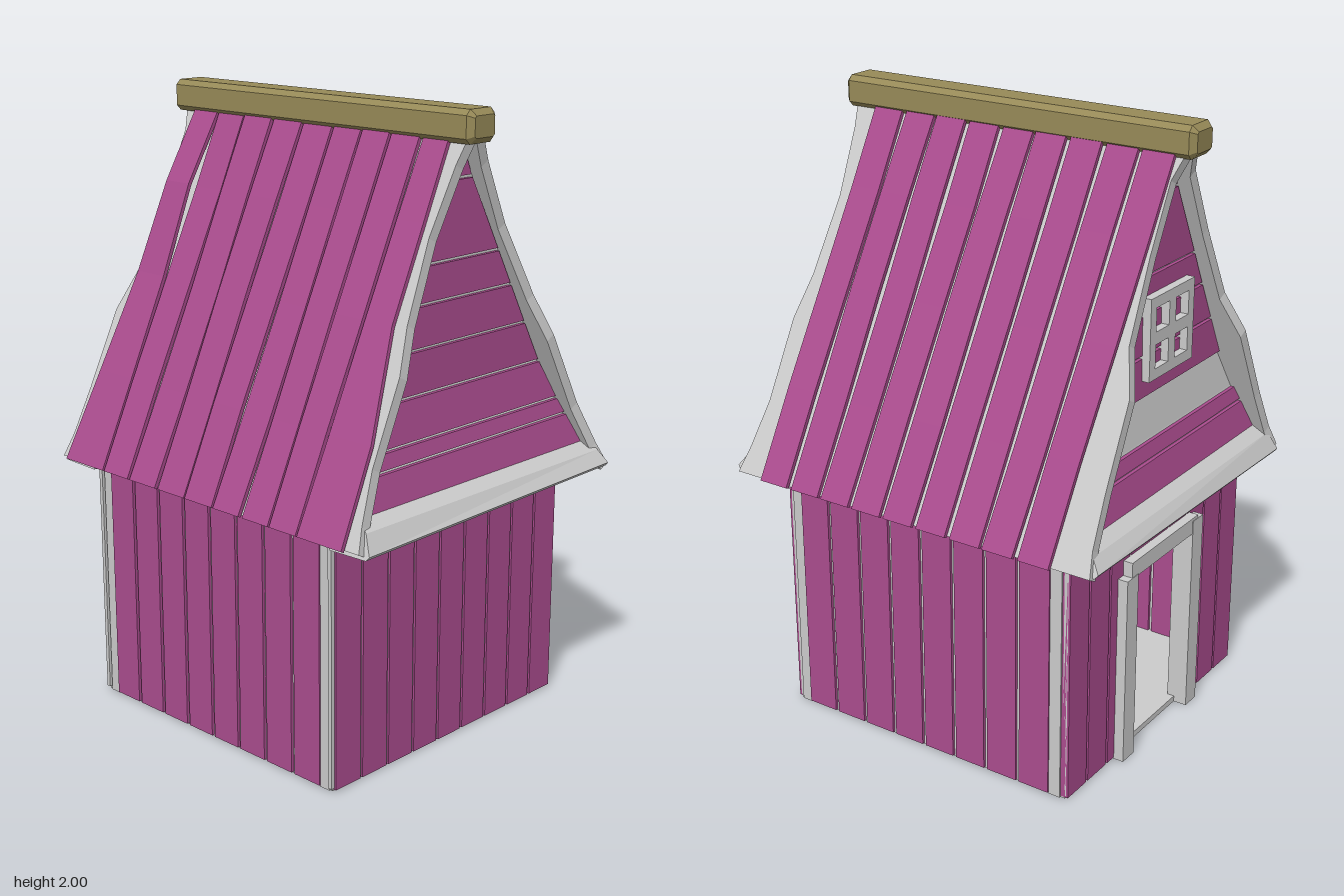
import * as THREE from 'three';

const mat = (color) => new THREE.MeshStandardMaterial({ color, flatShading: true, side: THREE.DoubleSide });
const grey = mat(0xcccccc), paint = mat(0xaa4c8e), olive = mat(0x978a58);
const lerp = THREE.MathUtils.lerp;

// Solid skinned through four-cornered rings, oriented outwards by its signed volume.
function loft(rings) {
  const quads = [rings[0].slice().reverse(), rings[rings.length - 1]];
  for (let i = 0; i + 1 < rings.length; i++)
    for (let j = 0; j < 4; j++) {
      const k = (j + 1) % 4;
      quads.push([rings[i][j], rings[i][k], rings[i + 1][k], rings[i + 1][j]]);
    }
  const tris = quads.flatMap(([a, b, c, d]) => [[a, b, c], [a, c, d]]);
  const origin = rings[0][0];
  let volume = 0;
  for (const t of tris) {
    const [a, b, c] = t.map((p) => p.clone().sub(origin));
    volume += a.dot(b.cross(c));
  }
  const points = tris.flatMap(([a, b, c]) => (volume < 0 ? [a, c, b] : [a, b, c]));
  const geo = new THREE.BufferGeometry().setFromPoints(points);
  geo.computeVertexNormals();
  return geo;
}

// Piecewise linear lookup in a list of [key, value]
function curve(points, t) {
  const found = points.findIndex((e) => e[0] >= t);
  const i = found < 0 ? points.length - 1 : Math.max(1, found);
  const [p, q] = [points[i - 1], points[i]];
  return lerp(p[1], q[1], (t - p[0]) / (q[0] - p[0]));
}

export function createModel() {
  const model = new THREE.Group();
  model.name = 'woodenHut';
  const add = (name, geo, material, parent = model) => {
    const mesh = new THREE.Mesh(geo, material);
    mesh.name = name;
    parent.add(mesh);
    return mesh;
  };
  // Box given by its extents on each axis
  const box = (name, x0, x1, y0, y1, z0, z1, material, parent) =>
    add(name, new THREE.BoxGeometry(x1 - x0, y1 - y0, z1 - z0), material, parent)
      .position.set((x0 + x1) / 2, (y0 + y1) / 2, (z0 + z1) / 2);
  const group = (name) => {
    const g = new THREE.Group();
    g.name = name;
    model.add(g);
    return g;
  };

  // Floor, loft floor and corner posts
  box('floor', -0.55, 0.495, 0, 0.02, -0.52, 0.52, grey);
  box('loftFloor', -0.6, 0.6, 0.8, 0.84, -0.55, 0.55, grey);
  for (const x of [-0.514, 0.467])
    for (const z of [-0.503, 0.503]) box('cornerPost', x - 0.02, x + 0.02, 0, 0.8, z - 0.022, z + 0.022, grey);

  // Front and back walls: planks through a thinner core
  for (const s of [-1, 1]) {
    const wall = group(s > 0 ? 'frontWall' : 'backWall');
    const z = s * 0.51;
    box('wallCore', -0.5, 0.46, 0.01, 0.8, z - 0.01, z + 0.01, grey, wall);
    for (let i = 0; i < 8; i++) {
      const x = -0.494 + i * 0.1195;
      box('wallPlank', x, x + 0.107, 0.005, 0.8, z - 0.02, z + 0.02, paint, wall);
    }
  }

  // Side walls; the right one (-x) has the doorway
  const doorBack = -0.2, doorFront = 0.17, doorTop = 0.66;
  for (const s of [-1, 1]) {
    const wall = group(s > 0 ? 'leftWall' : 'doorWall');
    const x = s > 0 ? 0.492 : -0.547;
    const parts = s > 0 ? [[-0.52, 0.53, 0.01]]
      : [[-0.52, doorBack, 0.01], [doorBack, doorFront, doorTop], [doorFront, 0.53, 0.01]];
    for (const [z0, z1, y0] of parts) {
      box('wallCore', x - 0.007, x + 0.007, y0, 0.8, z0, z1, grey, wall);
      for (let i = 0; i < 9; i++) {
        const start = -0.522 + i * 0.1165;
        const a = Math.max(z0, start), b = Math.min(z1, start + 0.107);
        if (b - a > 0.01) box('wallPlank', x - 0.014, x + 0.014, y0 - 0.005, 0.8, a, b, paint, wall);
      }
    }
  }
  box('doorJamb', -0.595, -0.525, 0, 0.64, -0.25, -0.185, grey);
  box('doorJamb', -0.595, -0.525, 0, 0.68, 0.155, 0.22, grey);
  box('doorLintel', -0.593, -0.525, 0.635, 0.69, -0.22, 0.19, grey);

  // Roof: point on a slope at x, height fraction t and offset h along the slope's normal
  const roofPoint = (s, x, t, h) => {
    const ridgeZ = s > 0 ? 0.065 : -0.01;
    const run = 0.593 - s * ridgeZ, n = new THREE.Vector2(1.11, run).normalize();
    return new THREE.Vector3(x, lerp(0.81, 1.92, t) + n.y * h, s * (lerp(0.593, s * ridgeZ, t) + n.x * h));
  };
  // Slab along a slope from stations of [t, xLeft, xRight, lift]
  const slope = (s, stations, h0, h1) => loft(stations.map(([t, a, b, lift = 0]) => [
    roofPoint(s, a, t, h0 + lift), roofPoint(s, b, t, h0 + lift),
    roofPoint(s, b, t, h1 + lift), roofPoint(s, a, t, h1 + lift)]));

  const boards = [[0.005, -0.665, 0.66], [0.07, -0.65, 0.64], [0.2, -0.642, 0.615], [0.42, -0.638, 0.61],
    [0.54, -0.592, 0.58], [0.75, -0.582, 0.56], [0.93, -0.583, 0.575], [1, -0.61, 0.59]];
  const leftEdge = [[0, -0.63], [0.3, -0.595], [0.7, -0.555], [1, -0.55]];
  const rightEdge = [[0, 0.61], [0.25, 0.6], [0.53, 0.54], [1, 0.53]];
  const gaps = [-0.44, -0.315, -0.185, -0.055, 0.075, 0.195, 0.312, 0.43];
  const heights = [0, 0.25, 0.53, 0.78, 1];
  for (const s of [-1, 1]) {
    const roof = group(s > 0 ? 'frontRoof' : 'backRoof');
    add('roofBoard', slope(s, boards, -0.04, -0.004), grey, roof);
    for (let i = 0; i < 9; i++) {
      const stations = heights.map((t, k) => {
        const wobble = 0.004 * Math.sin(i * 2.3 + k * 1.9);
        const lift = 0.003 * (1 + Math.sin(i * 1.7 + k)) + (s > 0 && i === 0 && k === 3 ? 0.02 : 0);
        if (s < 0) {
          const x = -0.535 + i * 0.1225 - 0.047 * t;
          return [t, x + wobble / 2, x + 0.106 + wobble / 2, lift];
        }
        return [t, i === 0 ? curve(leftEdge, t) : gaps[i - 1] + 0.005 + wobble / 2,
          i === 8 ? curve(rightEdge, t) : gaps[i] - 0.005 + wobble / 2, lift];
      });
      add('roofPlank', slope(s, stations, -0.004, 0.009), paint, roof);
    }
  }

  // Ridge beam with chamfered edges and ends
  const c = 0.006, w = 0.044, h = 0.032;
  const section = new THREE.Shape([[-w, -h + c], [-w + c, -h], [w - c, -h], [w, -h + c],
    [w, h - c], [w - c, h], [-w + c, h], [-w, h - c]].map((p) => new THREE.Vector2(...p)));
  const ridge = new THREE.ExtrudeGeometry(section,
    { depth: 1.234, bevelThickness: 0.018, bevelSize: 0.018, bevelSegments: 1 });
  ridge.translate(0, 0, -0.617).rotateY(Math.PI / 2);
  add('ridgeBeam', ridge, olive).position.set(-0.01, 1.95, 0.032);

  // Gables: flared at the foot, nearly upright above
  const flare = [[0.8, 0.63], [0.9, 0.607], [1.05, 0.568], [1.19, 0.545], [1.9, 0.535]];
  const gableRing = (s, y, inner, outer, margin) => {
    const x = curve(flare, y), mid = 0.03 * (y - 0.8) / 1.1;
    const half = Math.max(0.004, 0.6 * (1 - (y - 0.81) / 1.17) - margin);
    return [[x + inner, mid - half], [x + outer, mid - half], [x + outer, mid + half], [x + inner, mid + half]]
      .map(([px, z]) => new THREE.Vector3(s * px, y, z));
  };
  const rows = [[0.88, 0.99], [1.0, 1.045], [1.055, 1.175], [1.185, 1.31], [1.32, 1.44],
    [1.45, 1.555], [1.565, 1.79], [1.8, 1.9]];
  for (const s of [-1, 1]) {
    const gable = group(s > 0 ? 'leftGable' : 'doorGable');
    const levels = flare.map(([y]) => Math.max(y, 0.83));
    add('gableBacking', loft(levels.map((y) => gableRing(s, y, -0.04, -0.008, 0.035))), grey, gable);
    rows.forEach(([y0, y1], i) => {
      if (s < 0 && i === 2) return; // bare ledge under the window
      add('gablePlank', loft([y0, y1].map((y) => gableRing(s, y, -0.02, 0.004, 0.05))), paint, gable);
    });
    // Sill beam under the gable: ends cut to the roof slope, tilted a little
    const sill = [[0.53, 0.8], [0.67, 0.803], [0.68, 0.815], [0.65, 0.865], [0.605, 0.9], [0.53, 0.9]];
    const geo = new THREE.ExtrudeGeometry(new THREE.Shape(sill.map(([x, y]) => new THREE.Vector2(x, y))),
      { depth: 1.14, bevelEnabled: false });
    geo.translate(0, 0, -0.57);
    if (s < 0) geo.rotateY(Math.PI);
    const p = geo.attributes.position;
    for (let i = 0; i < p.count; i++) {
      const z = p.getZ(i) * (1 - 0.65 * (p.getY(i) - 0.8));
      p.setZ(i, z);
      if (p.getY(i) < 0.86) p.setY(i, p.getY(i) - 0.015 * z);
    }
    add('sillBeam', geo, grey, gable);
  }

  // Four-pane window in the gable above the door
  const frame = new THREE.Shape([[-0.13, -0.13], [0.13, -0.13], [0.13, 0.13], [-0.13, 0.13]]
    .map((p) => new THREE.Vector2(...p)));
  for (const u of [-0.058, 0.058])
    for (const v of [-0.058, 0.058])
      frame.holes.push(new THREE.Path([[-1, -1], [-1, 1], [1, 1], [1, -1]]
        .map(([a, b]) => new THREE.Vector2(u + a * 0.038, v + b * 0.038))));
  const windowGeo = new THREE.ExtrudeGeometry(frame, { depth: 0.045, bevelEnabled: false });
  windowGeo.rotateY(-Math.PI / 2);
  add('windowFrame', windowGeo, grey).position.set(-0.528, 1.37, 0.01);

  return model;
}
